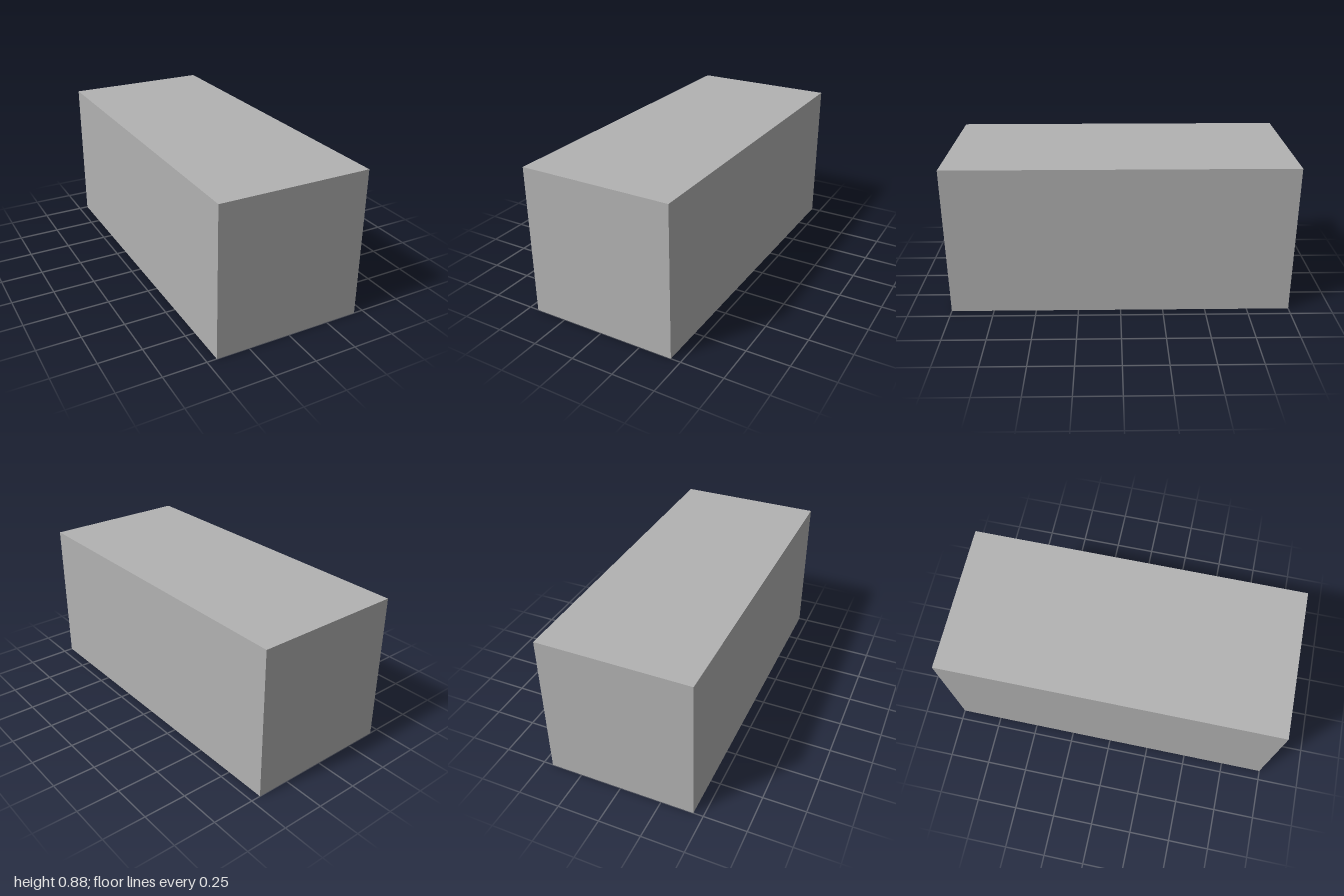
import * as THREE from 'three';

const W = 0.4425, L = 1;
const RECESS = 0.11, CEILING = 0.82, HEIGHT = 0.885;

// Rectangle in plan: shape x = model x, shape y = model z
function rect(Type, x0, x1, z0, z1) {
  const r = new Type();
  r.moveTo(x0, z0);
  r.lineTo(x1, z0);
  r.lineTo(x1, z1);
  r.lineTo(x0, z1);
  r.closePath();
  return r;
}

// Full-size layer between two heights, pierced by rectangular holes
function layer(y0, y1, holes) {
  const shape = rect(THREE.Shape, -W, W, -L, L);
  shape.holes = holes.map((h) => rect(THREE.Path, ...h));
  const geo = new THREE.ExtrudeGeometry(shape, { depth: y1 - y0, bevelEnabled: false });
  geo.rotateX(Math.PI / 2);
  geo.translate(0, y1, 0);
  return geo;
}

export function createModel() {
  const group = new THREE.Group();
  group.name = 'hollowBlock';
  const grey = new THREE.MeshStandardMaterial({ color: 0xb2b2b2 });
  grey.name = 'plain grey';

  const add = (name, geo) => {
    const mesh = new THREE.Mesh(geo, grey);
    mesh.name = name;
    group.add(mesh);
    return mesh;
  };

  // Thin skirt around the recessed underside, thicker at the back
  add('baseRim', layer(0, RECESS, [[-0.422, 0.422, -0.9, 0.98]]));

  // Body with a small back pocket and a long front pocket, open below
  add('body', layer(RECESS, CEILING, [
    [-0.368, 0.368, -0.705, -0.198],
    [-0.368, 0.368, -0.157, 0.874],
  ]));

  // Closed roof
  add('roof', layer(CEILING, HEIGHT, []));

  // Thin partitions hanging inside the front pocket
  const bottom = 0.25;
  for (const [i, z] of [0.21, 0.548].entries()) {
    const wall = add('partition' + (i + 1), new THREE.BoxGeometry(0.736, CEILING - bottom, 0.02));
    wall.position.set(0, (CEILING + bottom) / 2, z);
  }
  return group;
}
